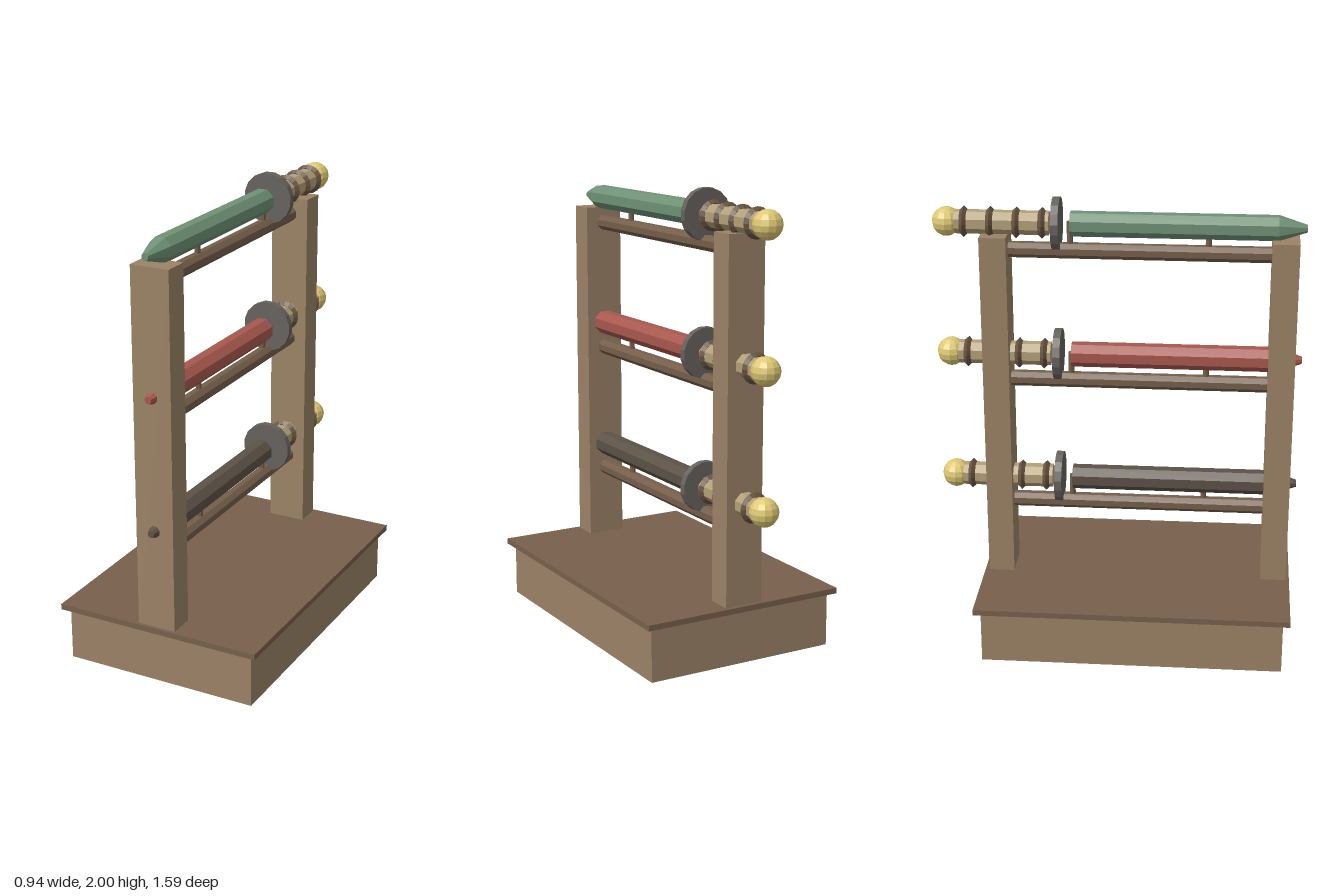
import * as THREE from 'three';

const mat = (color) => new THREE.MeshStandardMaterial({ color, flatShading: true });
const wood = mat(0x9b8266), darkWood = mat(0x78604c), railWood = mat(0x755e4a);
const gripMat = mat(0xb3a078), ringMat = mat(0x695441), gold = mat(0xdec873), steel = mat(0x66625e);

function add(parent, name, geometry, material, x = 0, y = 0, z = 0) {
  const mesh = new THREE.Mesh(geometry, material);
  mesh.name = name;
  mesh.position.set(x, y, z);
  parent.add(mesh);
  return mesh;
}

// Box spanning two heights and two depths, centred on x
function slab(parent, name, width, y0, y1, z0, z1, material) {
  add(parent, name, new THREE.BoxGeometry(width, y1 - y0, z1 - z0), material, 0, (y0 + y1) / 2, (z0 + z1) / 2);
}

// Faceted bar lying along z with flats facing up and sideways
function bar(z0, z1, r0, r1 = r0, sides = 8) {
  return new THREE.CylinderGeometry(r1, r0, z1 - z0, sides)
    .rotateY(Math.PI / sides)
    .rotateX(Math.PI / 2)
    .translate(0, 0, (z0 + z1) / 2);
}

function createSword(color) {
  const sword = new THREE.Group();
  sword.name = 'sword';
  const cover = mat(color);

  // Scabbard and its tapered tip
  add(sword, 'scabbard', bar(-0.2, 0.68, 0.055), cover);
  add(sword, 'scabbardTip', bar(0.68, 0.8, 0.055, 0.016), cover);

  // Round guard
  add(sword, 'guard', bar(-0.275, -0.243, 0.113, 0.113, 16), steel);

  // Grip with four raised rings
  add(sword, 'grip', bar(-0.72, -0.29, 0.052), gripMat);
  for (const z of [-0.32, -0.43, -0.542, -0.655]) {
    add(sword, 'gripRing', new THREE.TorusGeometry(0.052, 0.015, 4, 16), ringMat, 0, 0, z);
  }

  // Pommel
  add(sword, 'pommel', new THREE.SphereGeometry(0.063, 12, 8), gold, 0, 0, -0.73);
  return sword;
}

export function createModel() {
  const model = new THREE.Group();
  model.name = 'swordRack';

  // Base and overhanging top board
  slab(model, 'base', 0.88, 0, 0.24, -0.57, 0.755, wood);
  slab(model, 'topBoard', 0.94, 0.24, 0.265, -0.6, 0.785, darkWood);

  // Front and back posts
  slab(model, 'frontPost', 0.174, 0.23, 1.84, 0.655, 0.77, wood);
  slab(model, 'backPost', 0.174, 0.23, 1.84, -0.582, -0.467, wood);

  // Three tiers, each with a rail, two pegs and a sword
  const tiers = [[0.71, 0x5c5246], [1.298, 0xa8584e], [1.887, 0x6f9175]];
  for (const [y, color] of tiers) {
    const tier = new THREE.Group();
    tier.name = 'tier';
    tier.position.y = y;
    add(tier, 'rail', bar(-0.48, 0.665, 0.035), railWood, 0, -0.118, 0);
    for (const [z, top] of [[0.387, -0.04], [-0.203, 0.01]]) {
      const bottom = -0.11;
      add(tier, 'peg', new THREE.CylinderGeometry(0.013, 0.013, top - bottom, 8), railWood, 0, (top + bottom) / 2, z);
    }
    tier.add(createSword(color));
    model.add(tier);
  }
  return model;
}
